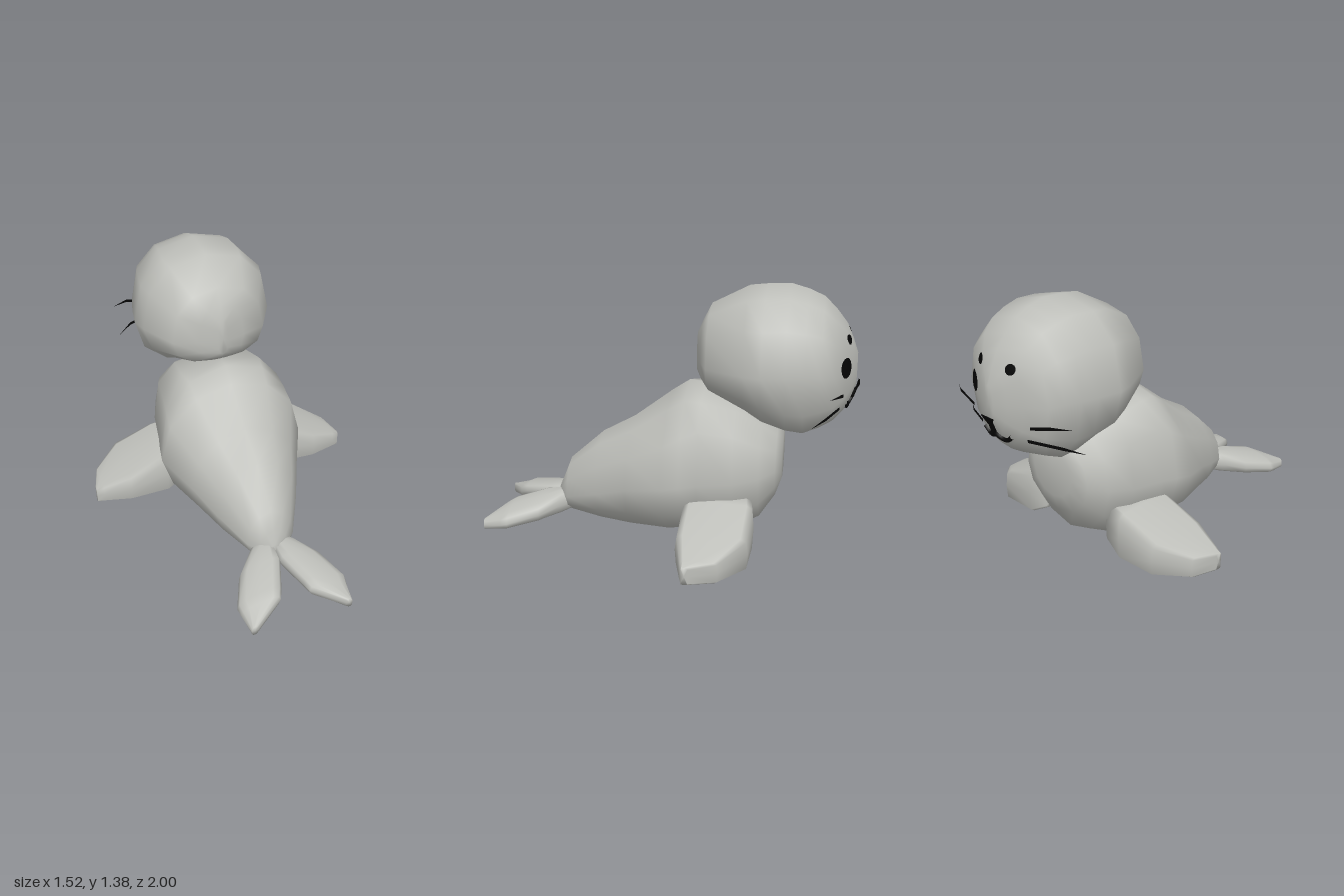
import * as THREE from 'three';

const fur = new THREE.MeshStandardMaterial({ color: 0xbebfba });
fur.name = 'grey fur';
const ink = new THREE.MeshStandardMaterial({ color: 0x050505, side: THREE.DoubleSide });
ink.name = 'black markings';

// Rounded section: centre c, half width w, from bottom b over widest height m to top t
function section(c, w, b, m, t, upper, lower, sides) {
  const pts = [];
  for (let i = 0; i < sides; i++) {
    const a = (i / sides) * Math.PI * 2;
    const cos = Math.cos(a), sin = Math.sin(a);
    const e = 2 / (sin > 0 ? upper : lower);
    const u = Math.sign(cos) * Math.abs(cos) ** e;
    const v = Math.abs(sin) ** e;
    pts.push([c + w * u, sin > 0 ? m + (t - m) * v : m - (m - b) * v]);
  }
  return pts;
}

// Closed smooth skin through rings of equal length
function loft(rings) {
  const n = rings[0].length;
  const pts = rings.flat();
  const index = [];
  for (let r = 0; r < rings.length - 1; r++) {
    for (let i = 0; i < n; i++) {
      const a = r * n + i, b = r * n + (i + 1) % n;
      index.push(a, b, a + n, b, b + n, a + n);
    }
  }
  [0, rings.length - 1].forEach((r) => {
    const centre = new THREE.Vector3();
    rings[r].forEach((p) => centre.addScaledVector(p, 1 / n));
    const k = pts.push(centre) - 1;
    for (let i = 0; i < n; i++) {
      const a = r * n + i, b = r * n + (i + 1) % n;
      index.push(...(r === 0 ? [k, b, a] : [k, a, b]));
    }
  });
  // Turn all faces outward
  let volume = 0;
  for (let i = 0; i < index.length; i += 3) {
    const [a, b, c] = [0, 1, 2].map((j) => pts[index[i + j]]);
    volume += a.dot(b.clone().cross(c));
  }
  if (volume < 0) index.reverse();
  const geo = new THREE.BufferGeometry().setFromPoints(pts);
  geo.setIndex(index);
  geo.computeVertexNormals();
  return geo;
}

function addMesh(parent, name, geo, mat) {
  const mesh = new THREE.Mesh(geo, mat);
  mesh.name = name;
  parent.add(mesh);
  return mesh;
}

export function createModel() {
  const seal = new THREE.Group();
  seal.name = 'seal';
  const V = (x, y, z) => new THREE.Vector3(x, y, z);

  // Body, tail to chest: z, half width, bottom, widest height, top, squareness of the back
  const bodyRows = [
    [0.63, 0.03, 0.09, 0.14, 0.19, 2],
    [0.60, 0.08, 0.07, 0.15, 0.26, 2],
    [0.56, 0.13, 0.06, 0.17, 0.36, 2],
    [0.37, 0.23, 0.03, 0.24, 0.53, 2],
    [0.19, 0.31, 0.015, 0.31, 0.63, 2],
    [-0.02, 0.41, 0.02, 0.37, 0.79, 2],
    [-0.11, 0.395, 0.025, 0.38, 0.85, 2.2],
    [-0.20, 0.375, 0.03, 0.39, 0.84, 2.8],
    [-0.38, 0.345, 0.04, 0.40, 0.79, 2.8],
    [-0.51, 0.30, 0.11, 0.42, 0.70, 2.5],
    [-0.59, 0.23, 0.24, 0.44, 0.63, 2.3],
    [-0.62, 0.14, 0.33, 0.46, 0.59, 2],
  ];
  addMesh(seal, 'body', loft(bodyRows.map(([z, w, b, m, t, n]) =>
    section(0, w, b, m, t, n, 2, 12).map(([x, y]) => V(x, y, z)))), fur);

  // Head, nape to muzzle: z, half width, bottom, widest height, top
  const headRows = [
    [-0.15, 0.03, 0.90, 0.98, 1.11],
    [-0.18, 0.13, 0.86, 0.98, 1.18],
    [-0.225, 0.26, 0.82, 0.98, 1.27],
    [-0.42, 0.365, 0.73, 0.98, 1.37],
    [-0.51, 0.39, 0.67, 0.98, 1.38],
    [-0.63, 0.37, 0.62, 0.98, 1.385],
    [-0.72, 0.35, 0.605, 0.98, 1.36],
    [-0.80, 0.325, 0.64, 0.98, 1.325],
    [-0.865, 0.29, 0.68, 0.97, 1.26],
    [-0.92, 0.18, 0.73, 0.96, 1.19],
    [-0.955, 0.10, 0.80, 0.95, 1.11],
    [-0.98, 0.03, 0.87, 0.95, 1.04],
  ];
  const head = addMesh(seal, 'head', loft(headRows.map(([z, w, b, m, t]) =>
    section(0, w, b, m, t, 2.3, 2.3, 12).map(([x, y]) => V(x, y, z)))), fur);

  // Front flippers, shoulder to tip: x, rear z, front z, bottom, top
  const frontRows = [
    [0.24, -0.14, -0.48, 0.10, 0.33],
    [0.35, -0.125, -0.50, 0.04, 0.30],
    [0.57, -0.125, -0.49, 0.04, 0.215],
    [0.72, -0.17, -0.36, 0.04, 0.15],
    [0.76, -0.185, -0.22, 0.04, 0.13],
  ];
  // Tail flippers, root to tip: z, inner x, outer x, bottom, top
  const tailRows = [
    [0.53, 0.00, 0.08, 0.09, 0.17],
    [0.60, 0.00, 0.14, 0.07, 0.185],
    [0.70, 0.00, 0.23, 0.055, 0.165],
    [0.86, 0.06, 0.30, 0.03, 0.125],
    [0.90, 0.08, 0.293, 0.022, 0.105],
    [1.00, 0.24, 0.275, 0.004, 0.06],
  ];
  const droop = 0.2; // tail flippers fall away from the middle
  for (const [side, s] of [['left', 1], ['right', -1]]) {
    addMesh(seal, side + 'FrontFlipper', loft(frontRows.map(([x, z0, z1, b, t]) =>
      section((z0 + z1) / 2, (z0 - z1) / 2, b, (b + t) / 2, t, 6, 9, 12)
        .map(([z, y]) => V(s * x, y, z)))), fur);
    addMesh(seal, side + 'TailFlipper', loft(tailRows.map(([z, x0, x1, b, t]) => {
      const c = (x0 + x1) / 2;
      return section(c, (x1 - x0) / 2, b, (b + t) / 2, t, 2.8, 2.8, 12)
        .map(([x, y]) => V(s * x, y + droop * (c - x), z));
    })), fur);
  }

  // Lay a point of the face onto the head
  head.updateMatrixWorld(true);
  const ray = new THREE.Raycaster();
  function onFace(x, y, lift = 0.007) {
    ray.set(V(x, y, -2), V(0, 0, 1));
    const hit = ray.intersectObject(head)[0];
    return V(x, y, (hit ? hit.point.z : -0.93) - lift);
  }
  function spot(name, x, y, r) {
    const geo = new THREE.CircleGeometry(r, 20);
    const p = geo.attributes.position;
    for (let i = 0; i < p.count; i++) {
      const q = onFace(x - p.getX(i), y + p.getY(i));
      p.setXYZ(i, q.x, q.y, q.z);
    }
    geo.computeVertexNormals();
    addMesh(seal, name, geo, ink);
  }
  // Upright thin blade through three points, tapering to the last
  function blade(name, a, b, c) {
    const up = V(0, 0.008, 0);
    const geo = new THREE.BufferGeometry().setFromPoints([
      a.clone().sub(up), a.clone().add(up), b.clone().sub(up), b.clone().add(up), c,
    ]);
    geo.setIndex([0, 2, 1, 1, 2, 3, 2, 4, 3]);
    geo.computeVertexNormals();
    addMesh(seal, name, geo, ink);
  }

  // Eye on the left side only; brow spots, whiskers and mouth on both
  spot('leftEye', 0.18, 1.0, 0.052);
  for (const [side, s] of [['left', 1], ['right', -1]]) {
    spot(side + 'Brow', s * 0.11, 1.13, 0.026);
    blade(side + 'UpperWhisker',
      V(s * 0.21, 0.865, -0.915), V(s * 0.34, 0.9, -0.9), V(s * 0.43, 0.905, -0.85));
    blade(side + 'LowerWhisker',
      V(s * 0.17, 0.785, -0.9), V(s * 0.34, 0.78, -0.835), V(s * 0.43, 0.755, -0.765));
    const line = [[0, 0.85], [0, 0.80], [0.025, 0.772], [0.065, 0.768], [0.1, 0.795]]
      .map(([x, y]) => onFace(s * x, y, 0.004));
    addMesh(seal, side + 'Mouth',
      new THREE.TubeGeometry(new THREE.CatmullRomCurve3(line), 20, 0.012, 6), ink);
  }

  // Nose: small triangular plate
  const tri = new THREE.Shape([[-0.045, 0.025], [0.045, 0.025], [0, -0.035]]
    .map(([x, y]) => new THREE.Vector2(x, y)));
  const nose = addMesh(seal, 'nose',
    new THREE.ExtrudeGeometry(tri, { depth: 0.006, bevelEnabled: false }), ink);
  nose.position.set(0, 0.86, -0.99);
  nose.rotation.x = -0.35;

  return seal;
}
